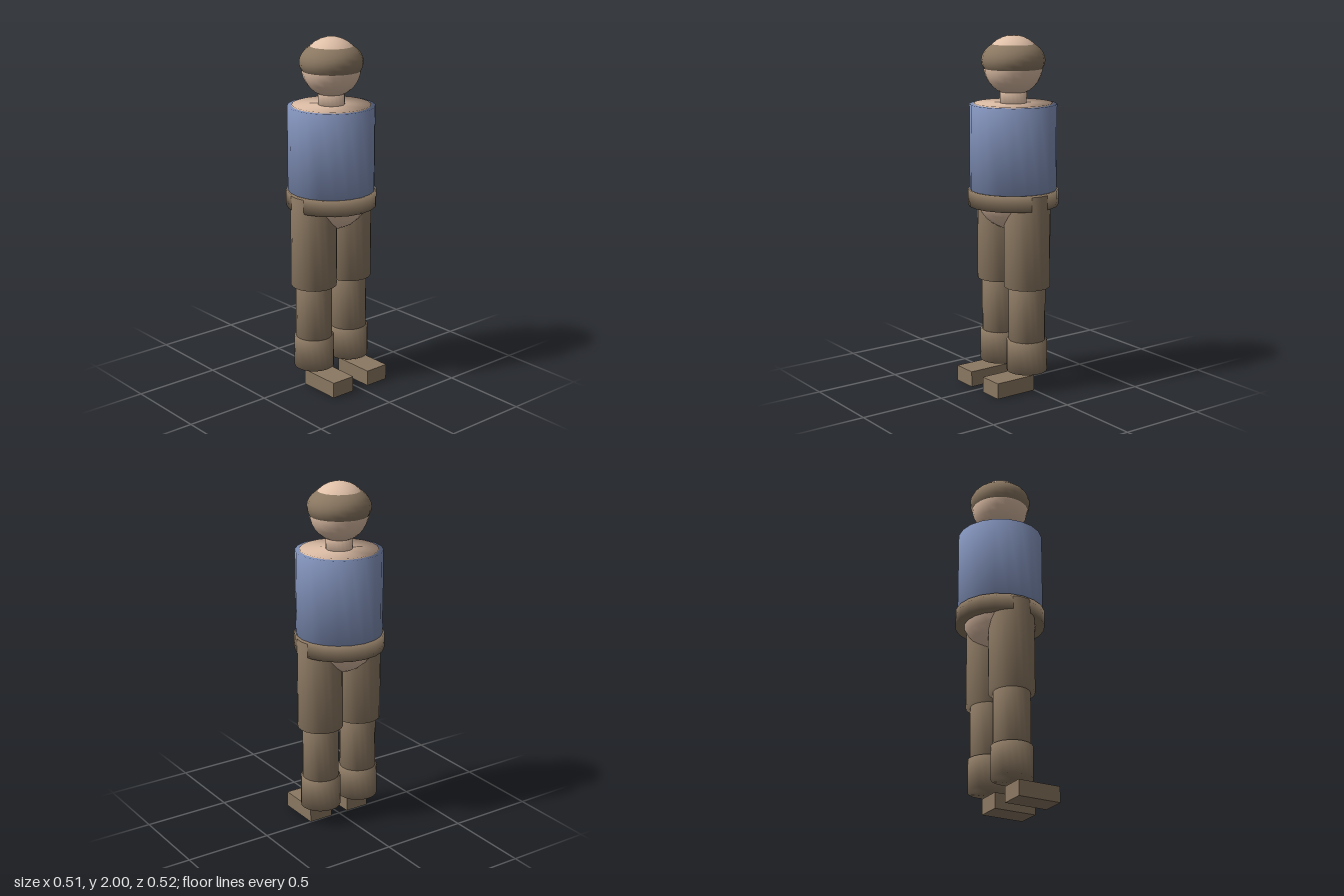
import * as THREE from 'three';

const SIDES = 20;

export function createModel() {
  const model = new THREE.Group();
  model.name = 'standingFigure';

  const material = (name, color) => {
    const m = new THREE.MeshStandardMaterial({ color });
    m.name = name;
    return m;
  };
  const skin = material('skin', 0xe0c0a8);
  const blue = material('shirtBlue', 0x8090b8);
  const brown = material('clothBrown', 0x8b7862);

  const add = (parent, name, geometry, mat, x = 0, y = 0, z = 0) => {
    const mesh = new THREE.Mesh(geometry, mat);
    mesh.name = name;
    mesh.position.set(x, y, z);
    parent.add(mesh);
    return mesh;
  };
  // Closed round part with soft rims, profile listed from bottom to top
  const turned = (profile) =>
    new THREE.LatheGeometry(profile.map(([r, y]) => new THREE.Vector2(r, y)), SIDES);
  const drum = (r, y0, y1) => turned([[0, y0], [r, y0], [r, y1], [0, y1]]);

  // Torso: rounded hips running up to flat shoulders
  const torso = [];
  for (let i = 0; i <= 8; i++) {
    const a = (i / 8) * Math.PI / 2;
    torso.push([0.22 * Math.sin(a), 1.13 - 0.22 * Math.cos(a)]);
  }
  torso.push([0.22, 1.626], [0, 1.626]);
  add(model, 'torso', turned(torso), skin);

  // Clothing on the torso
  add(model, 'shirt', drum(0.245, 1.1, 1.62), blue);
  add(model, 'belt', drum(0.255, 1.05, 1.14), brown);

  // Neck, head and the flattened hair band the head pokes through
  add(model, 'neck', drum(0.075, 1.6, 1.71), skin);
  add(model, 'head', new THREE.SphereGeometry(0.166, SIDES, 16), skin, 0, 1.834, 0);
  const hair = add(model, 'hair', new THREE.SphereGeometry(0.178, SIDES, 16), brown, 0, 1.861, 0);
  hair.scale.y = 0.67;

  // Legs, side by side along z with the toes towards +x
  for (const side of [1, -1]) {
    const leg = new THREE.Group();
    leg.name = side > 0 ? 'frontLeg' : 'rearLeg';
    leg.position.z = 0.13 * side;
    add(leg, 'thigh', drum(0.13, 0.6, 1.13), brown);
    add(leg, 'shin', drum(0.104, 0.28, 0.61), brown);
    add(leg, 'bootCuff', drum(0.115, 0.107, 0.29), brown);
    add(leg, 'foot', new THREE.BoxGeometry(0.255, 0.09, 0.145), brown, 0.1275, 0.045, -0.002 * side);
    model.add(leg);
  }
  return model;
}
